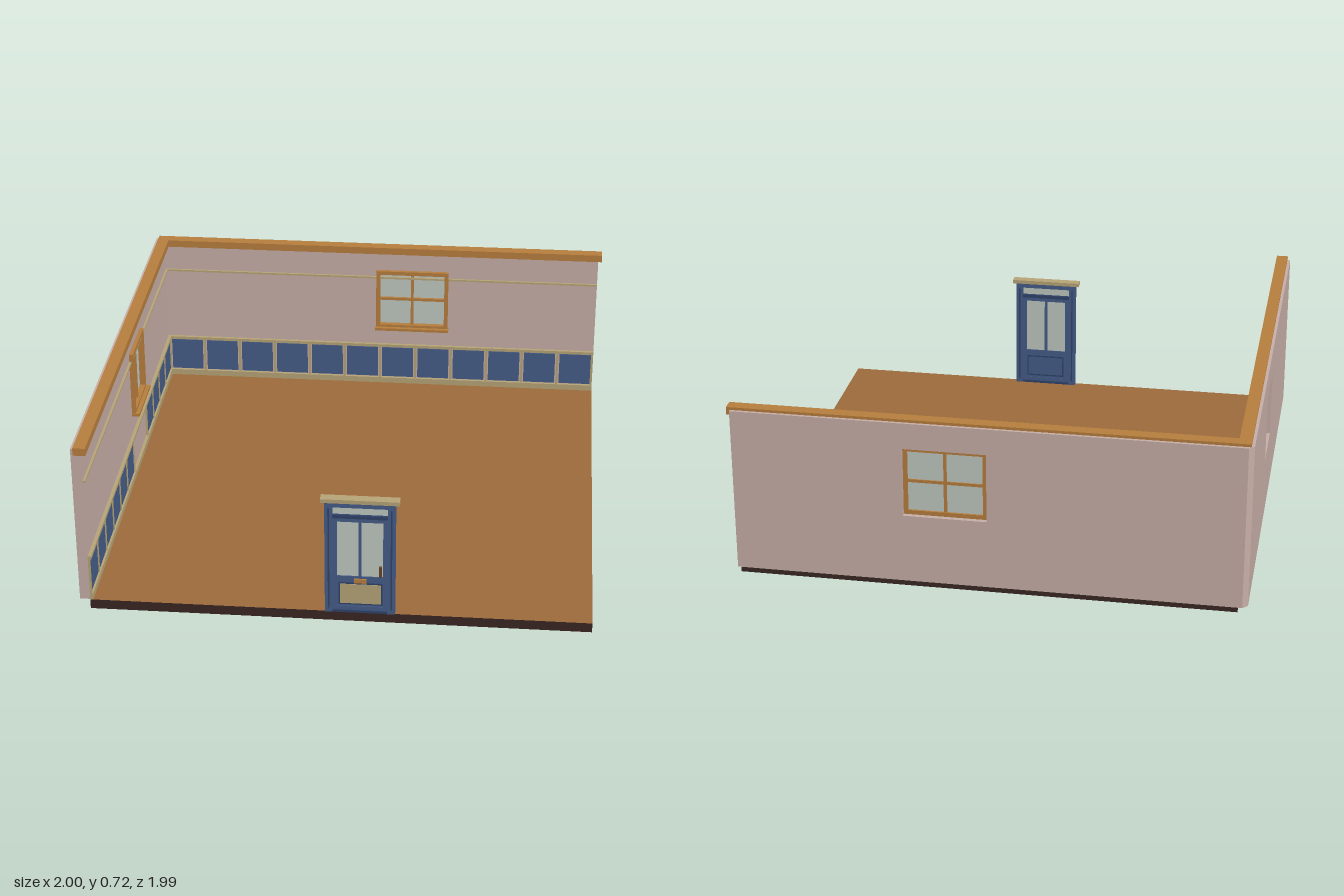
import * as THREE from 'three';

const mat = (name, color) => {
  const m = new THREE.MeshStandardMaterial({ color });
  m.name = name;
  return m;
};

export function createModel() {
  const plaster = mat('pink plaster', 0xc8afa8);
  const boards = mat('floor boards', 0x9e6b3b);
  const dark = mat('dark foundation', 0x3a2723);
  const wood = mat('orange wood', 0xb87f3e);
  const tan = mat('tan moulding', 0xb8a678);
  const blue = mat('blue paint', 0x455d88);
  const navy = mat('dark blue paint', 0x2f436a);
  const glass = mat('pale glass', 0xc1c9c2);
  const brown = mat('dark brown fitting', 0x6b4426);

  // Box given by its minimum and maximum on each axis
  const box = (parent, name, material, x0, x1, y0, y1, z0, z1) => {
    const mesh = new THREE.Mesh(new THREE.BoxGeometry(x1 - x0, y1 - y0, z1 - z0), material);
    mesh.position.set((x0 + x1) / 2, (y0 + y1) / 2, (z0 + z1) / 2);
    mesh.name = name;
    parent.add(mesh);
    return mesh;
  };
  const addGroup = (parent, name) => {
    const g = new THREE.Group();
    g.name = name;
    parent.add(g);
    return g;
  };
  // Four bars around a rectangle
  const frame = (parent, name, m, x0, x1, y0, y1, w, z0, z1) => {
    box(parent, name, m, x0, x0 + w, y0, y1, z0, z1);
    box(parent, name, m, x1 - w, x1, y0, y1, z0, z1);
    box(parent, name, m, x0 + w, x1 - w, y0, y0 + w, z0, z1);
    box(parent, name, m, x0 + w, x1 - w, y1 - w, y1, z0, z1);
  };

  const model = new THREE.Group();
  model.name = 'room';

  // Floor slab with a boarded top
  box(model, 'floor', [dark, dark, boards, dark, dark, dark], -0.96, 0.98, 0, 0.04, -0.96, 0.98);

  // A wall runs along local x; its inner face is at z = 0 and the room lies at +z
  const BOTTOM = 0.042, TOP = 0.705, SILL = 0.32, HEAD = 0.6, BACK = -0.04;
  function wall(name, { u0, u1, w0, w1, crown, runs, crossbar }) {
    const g = addGroup(model, name);
    const piece = (a, b, y0, y1) => box(g, 'wallPanel', plaster, a, b, y0, y1, BACK, 0);
    piece(u0, w0, BOTTOM, TOP);
    piece(w1, u1, BOTTOM, TOP);
    piece(w0, w1, BOTTOM, SILL);
    piece(w0, w1, HEAD, TOP);

    // Mouldings
    box(g, 'baseboard', tan, u0, u1, 0.04, 0.066, 0, 0.012);
    box(g, 'chairRail', tan, u0, u1, 0.222, 0.235, 0, 0.014);
    box(g, 'pictureRail', tan, u0, u1, 0.561, 0.569, 0, 0.01);
    box(g, 'crownMoulding', wood, crown[0], crown[1], 0.685, 0.716, -0.028, 0.02);

    // Wainscot panels between narrow stiles
    for (const [a, b, n] of runs) {
      const step = (b - a) / n;
      for (let i = 0; i <= n; i++) {
        const u = THREE.MathUtils.clamp(a + i * step, u0 + 0.005, u1 - 0.005);
        box(g, 'wainscotStile', tan, u - 0.005, u + 0.005, 0.066, 0.222, 0, 0.008);
        if (i < n) box(g, 'wainscotPanel', blue, a + i * step + 0.01, a + (i + 1) * step - 0.01, 0.07, 0.216, 0, 0.005);
      }
    }

    // Window
    const win = addGroup(g, 'window');
    const mid = (w0 + w1) / 2, my = (SILL + HEAD) / 2;
    box(win, 'windowGlass', glass, w0 + 0.01, w1 - 0.01, SILL + 0.01, HEAD - 0.01, -0.014, -0.008);
    frame(win, 'windowFrame', wood, w0, w1, SILL, HEAD, 0.017, -0.022, 0.016);
    box(win, 'windowMullion', wood, mid - 0.006, mid + 0.006, SILL + 0.017, HEAD - 0.017, -0.02, 0.004);
    if (crossbar) box(win, 'windowCrossbar', wood, w0 + 0.017, w1 - 0.017, my - 0.006, my + 0.006, -0.019, 0.003);
    box(win, 'windowSill', wood, w0 - 0.004, w1 + 0.004, 0.314, 0.326, 0, 0.033);
    return g;
  }

  const backWall = wall('backWall', {
    u0: -0.96, u1: 0.98, w0: -0.005, w1: 0.318, crown: [-0.988, 0.995],
    runs: [[-0.955, 0.98, 12]], crossbar: true,
  });
  backWall.position.z = -0.96;

  const rightWall = wall('rightWall', {
    u0: -0.98, u1: 0.96, w0: 0.02, w1: 0.28, crown: [-0.995, 0.94],
    runs: [[-0.975, -0.015, 6], [0.31, 0.957, 4]], crossbar: false,
  });
  rightWall.rotation.y = Math.PI / 2;
  rightWall.position.x = -0.96;

  // Chamfered post closing the corner between the walls
  const c = new THREE.Shape([[-0.96, 0.96], [-1, 0.96], [-1, 0.98], [-0.98, 1], [-0.96, 1]]
    .map(([x, y]) => new THREE.Vector2(x, y)));
  const post = new THREE.Mesh(new THREE.ExtrudeGeometry(c, { depth: TOP - BOTTOM, bevelEnabled: false }), plaster);
  post.rotation.x = -Math.PI / 2;
  post.position.y = BOTTOM;
  post.name = 'cornerPost';
  model.add(post);

  // Front door
  const door = addGroup(model, 'frontDoor');
  for (const [a, b] of [[-0.045, -0.015], [0.195, 0.225]]) {
    box(door, 'doorPost', blue, a, b, 0.04, 0.525, 0.957, 0.985);
    box(door, 'doorPostGroove', navy, a + 0.012, a + 0.018, 0.06, 0.5, 0.956, 0.986);
  }
  box(door, 'doorLintel', blue, -0.015, 0.195, 0.505, 0.525, 0.957, 0.985);
  box(door, 'transomGlass', glass, -0.015, 0.195, 0.472, 0.505, 0.968, 0.974);
  box(door, 'transomBar', navy, -0.015, 0.195, 0.458, 0.472, 0.957, 0.985);
  box(door, 'doorHeader', tan, -0.06, 0.24, 0.525, 0.541, 0.952, 0.99);
  box(door, 'threshold', navy, -0.015, 0.195, 0.04, 0.05, 0.958, 0.984);

  // Door leaf: frame, glazing, lower panel and fittings
  frame(door, 'leafFrame', blue, -0.015, 0.195, 0.05, 0.458, 0.017, 0.963, 0.98);
  box(door, 'leafGlass', glass, 0.002, 0.178, 0.2, 0.441, 0.968, 0.974);
  box(door, 'leafMullion', blue, 0.084, 0.096, 0.2, 0.441, 0.964, 0.979);
  box(door, 'leafLowerPanel', blue, 0.002, 0.178, 0.067, 0.2, 0.965, 0.977);
  frame(door, 'lowerPanelMoulding', navy, 0.008, 0.176, 0.074, 0.172, 0.006, 0.964, 0.979);
  box(door, 'kickPlate', tan, 0.014, 0.17, 0.08, 0.166, 0.977, 0.981);
  box(door, 'mailSlot', wood, 0.067, 0.115, 0.172, 0.19, 0.977, 0.983);
  box(door, 'doorHandle', brown, 0.163, 0.173, 0.203, 0.247, 0.974, 0.985);

  return model;
}
